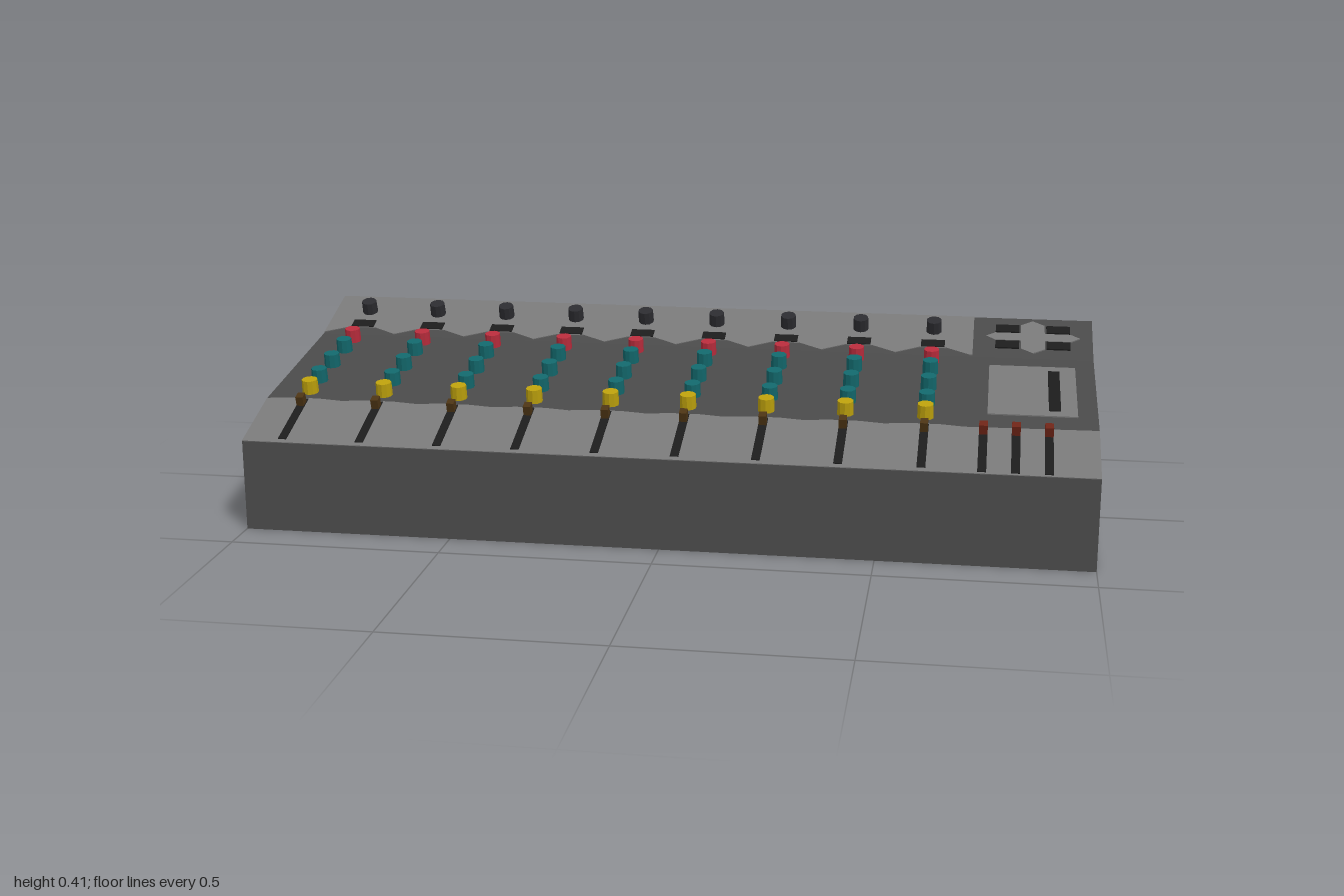
import * as THREE from 'three';

const mat = (color, flatShading = true) => new THREE.MeshStandardMaterial({ color, flatShading });
const BODY = mat(0x4a4a4a), PANEL = mat(0x787878), BLACK = mat(0x1c1c1c), KNOB = mat(0x2c2c30),
  RED = mat(0xb82c3c), TEAL = mat(0x12686c), YELLOW = mat(0xbca00c), RUST = mat(0x6e2416), AMBER = mat(0x4c3414);

// side profile of the desk, front to back: [z, y]
const PROFILE = [[0.4, 0.218], [0.215, 0.278], [-0.215, 0.34], [-0.4, 0.4]];
const COLUMNS = Array.from({ length: 9 }, (_, i) => -0.905 + 0.188 * i);

// a tilted group lying on one stretch of the sloping top; z arguments are plan positions
function slope(name, i) {
  const [z0, y0] = PROFILE[i], [z1, y1] = PROFILE[i + 1];
  const a = Math.atan2(y1 - y0, z0 - z1), c = Math.cos(a);
  const group = new THREE.Group();
  group.name = name;
  group.position.set(0, y0, z0);
  group.rotation.x = a;
  const local = z => (z - z0) / c;
  const add = (part, geo, material, x, y, z) => {
    const m = new THREE.Mesh(geo, material);
    m.name = part;
    m.position.set(x, y, z);
    group.add(m);
  };
  return {
    group,
    // thin plate from plan outline points [x, z]
    plate(part, points, material, height = 0.002) {
      const s = new THREE.Shape(points.map(([x, z]) => new THREE.Vector2(x, -local(z))));
      const g = new THREE.ExtrudeGeometry(s, { depth: height, bevelEnabled: false });
      g.rotateX(-Math.PI / 2);
      add(part, g, material, 0, 0, 0);
    },
    box(part, x, z, w, d, h, material) {
      add(part, new THREE.BoxGeometry(w, h, d), material, x, h / 2, local(z));
    },
    knob(part, x, z, material, r = 0.02, h = 0.034) {
      add(part, new THREE.CylinderGeometry(r * 0.96, r, h, 10), material, x, h / 2, local(z));
    },
  };
}

// zigzag edge between channels: flat notch at every column, point midway between
function zigzag(tip, notch) {
  const points = [[-1, tip]];
  for (const x of COLUMNS) points.push([x - 0.035, notch], [x + 0.035, notch], [x + 0.094, tip]);
  return points;
}

export function createModel() {
  const model = new THREE.Group();
  model.name = 'mixingDesk';

  // wedge-shaped housing
  const outline = new THREE.Shape([[0.4, 0], ...PROFILE, [-0.4, 0]].map(([z, y]) => new THREE.Vector2(-z, y)));
  const bodyGeo = new THREE.ExtrudeGeometry(outline, { depth: 2, bevelEnabled: false });
  bodyGeo.translate(0, 0, -1);
  bodyGeo.rotateY(Math.PI / 2);
  const body = new THREE.Mesh(bodyGeo, BODY);
  body.name = 'housing';
  model.add(body);

  const front = slope('faderSection', 0);
  const middle = slope('knobSection', 1);
  const back = slope('inputSection', 2);
  model.add(front.group, middle.group, back.group);

  // light panels with zigzag edges
  front.plate('faderPanel', [[-1, 0.4], ...zigzag(0.222, 0.216), [1, 0.217], [1, 0.4]], PANEL);
  back.plate('inputPanel', [[-1, -0.4], ...zigzag(-0.22, -0.248), [0.7, -0.22], [0.7, -0.4]], PANEL);

  // channel strips
  for (const x of COLUMNS) {
    back.knob('gainKnob', x, -0.325, KNOB);
    back.box('inputSwitch', x, -0.265, 0.06, 0.032, 0.004, BLACK);
    middle.knob('redKnob', x, -0.17, RED);
    for (const z of [-0.098, 0.002, 0.102]) middle.knob('tealKnob', x, z, TEAL);
    middle.knob('yellowKnob', x, 0.174, YELLOW);
    front.box('faderSlot', x, 0.304, 0.02, 0.176, 0.004, BLACK);
    front.box('faderCap', x, 0.242, 0.018, 0.022, 0.028, AMBER);
  }

  // master faders
  for (const x of [0.735, 0.81, 0.885]) {
    front.box('masterSlot', x, 0.307, 0.02, 0.184, 0.004, BLACK);
    front.box('masterCap', x, 0.242, 0.02, 0.022, 0.028, RUST);
  }

  // display plate with slot
  middle.box('displayPlate', 0.848, -0.005, 0.21, 0.305, 0.003, PANEL);
  middle.box('displaySlot', 0.9, -0.003, 0.028, 0.245, 0.005, BLACK);

  // pointed cross pad with four corner buttons
  const cx = 0.85, cz = -0.31;
  const bar = (name, pts) => back.plate(name, pts.map(([x, z]) => [cx + x, cz + z]), PANEL, 0.003);
  bar('crossPadUpright', [[0, 0.075], [0.03, 0.055], [0.03, -0.055], [0, -0.075], [-0.03, -0.055], [-0.03, 0.055]]);
  for (const s of [-1, 1])
    bar('crossPadArm', [[s * 0.03, 0.017], [s * 0.095, 0.017], [s * 0.118, 0], [s * 0.095, -0.017], [s * 0.03, -0.017]]);
  for (const sx of [-1, 1]) for (const sz of [-1, 1])
    back.box('cornerButton', cx + sx * 0.064, cz + sz * 0.037, 0.06, 0.034, 0.004, BLACK);

  return model;
}
